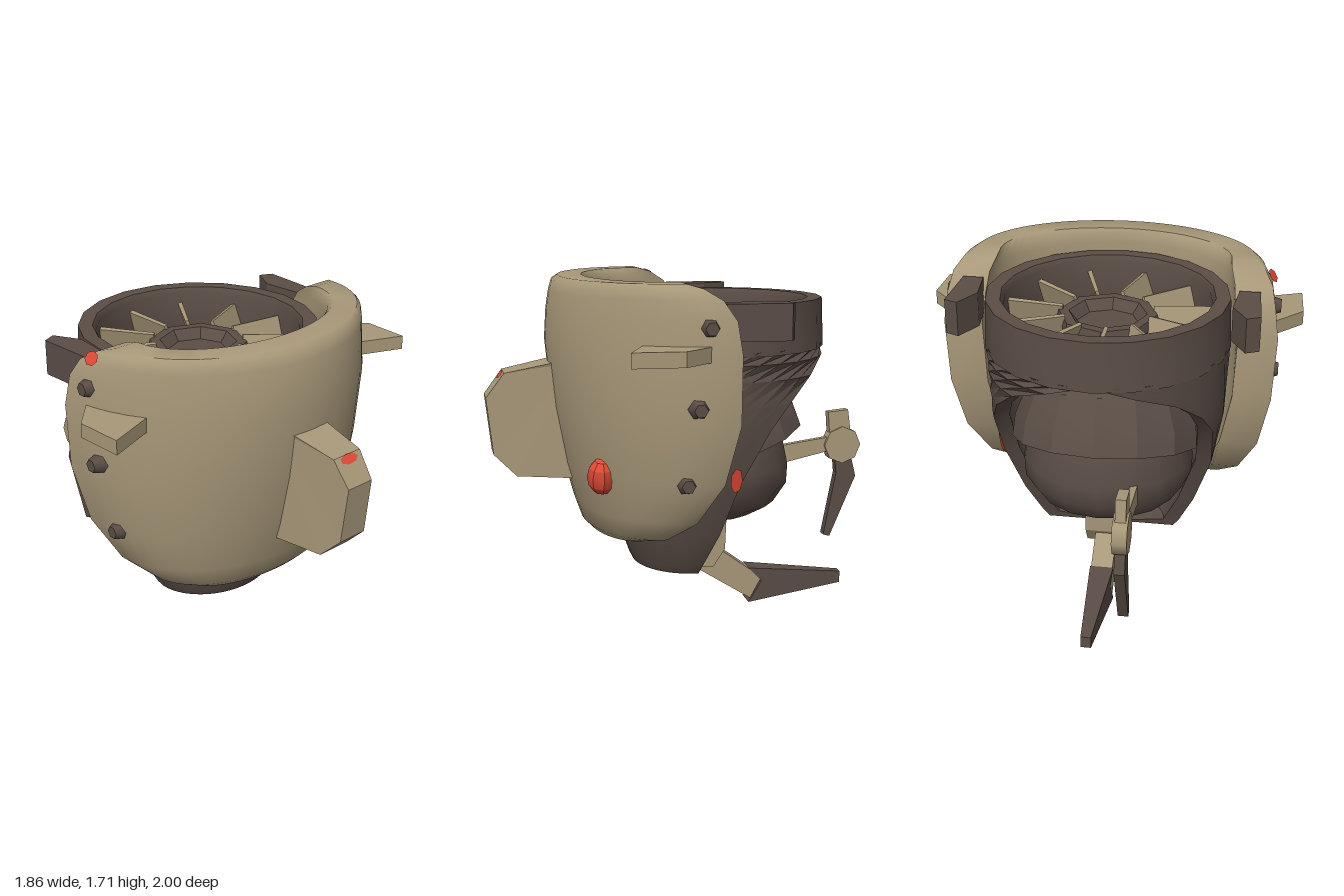
import * as THREE from 'three';
import { toCreasedNormals } from 'three/addons/utils/BufferGeometryUtils.js';

const material = (name, color) => {
  const m = new THREE.MeshStandardMaterial({ color, side: THREE.DoubleSide });
  m.name = name;
  return m;
};

export function createModel() {
  const tan = material('tan paint', 0xa89879);
  const dark = material('dark metal', 0x5a4d46);
  const red = material('red paint', 0xe04a36);
  const group = new THREE.Group();
  const AXIS_Z = -0.1; // fan axis

  const add = (name, geo, mat, x = 0, y = 0, z = 0) => {
    const m = new THREE.Mesh(geo, mat);
    m.name = name;
    m.position.set(x, y, z);
    group.add(m);
    return m;
  };
  const lathe = (pts, sides, crease = 0.6) => toCreasedNormals(
    new THREE.LatheGeometry(pts.map(p => new THREE.Vector2(...p)), sides), crease);

  // plate with a (z, y) outline, extruded along x
  const sidePlate = (pts, width) => {
    const g = new THREE.ExtrudeGeometry(
      new THREE.Shape(pts.map(([z, y]) => new THREE.Vector2(-z, y))),
      { depth: width, bevelEnabled: false });
    return g.translate(0, 0, -width / 2).rotateY(Math.PI / 2);
  };
  // plate with an (x, z) outline, extruded upwards
  const topPlate = (pts, height) => new THREE.ExtrudeGeometry(
    new THREE.Shape(pts.map(([x, z]) => new THREE.Vector2(x, -z))),
    { depth: height, bevelEnabled: false }).rotateX(-Math.PI / 2);
  // scale a part's width from 1 at z0 to k at z1
  const taper = (g, z0, z1, k) => {
    const p = g.attributes.position;
    for (let i = 0; i < p.count; i++) {
      const t = THREE.MathUtils.clamp((p.getZ(i) - z0) / (z1 - z0), 0, 1);
      p.setX(i, p.getX(i) * (1 + (k - 1) * t));
    }
    g.computeVertexNormals();
    return g;
  };

  // thick curved wall: rows of [y, halfWidth, depth, centreZ, halfAngle, thickness]
  const wall = (rows, n, crease) => {
    const pos = [], idx = [], loop = 2 * (n + 1);
    for (const [y, rx, rz, cz, deg, t] of rows) {
      for (let k = 0; k < loop; k++) {
        const inner = k > n, j = inner ? loop - 1 - k : k;
        const a = (2 * j / n - 1) * deg * Math.PI / 180, d = inner ? t : 0;
        pos.push(Math.max(rx - d, 0) * Math.sin(a), y, cz + Math.max(rz - d, 0) * Math.cos(a));
      }
    }
    for (let i = 0; i < rows.length - 1; i++) {
      for (let k = 0; k < loop; k++) {
        const a = i * loop + k, b = i * loop + (k + 1) % loop;
        idx.push(a, b, b + loop, a, b + loop, a + loop);
      }
    }
    const top = (rows.length - 1) * loop;
    for (let j = 0; j < n; j++) {
      const o = loop - 1 - j;
      idx.push(j, o, o - 1, j, o - 1, j + 1);
      idx.push(top + j, top + j + 1, top + o - 1, top + j, top + o - 1, top + o);
    }
    const g = new THREE.BufferGeometry();
    g.setAttribute('position', new THREE.Float32BufferAttribute(pos, 3));
    g.setIndex(idx);
    return toCreasedNormals(g, crease);
  };

  // front armour: [y, halfWidth, frontZ, rearZ, thickness]
  const armour = [
    [0.47, 0.43, 0.50, 0.30, 0.13], [0.50, 0.54, 0.53, 0.20, 0.17], [0.60, 0.65, 0.565, 0.08, 0.18],
    [0.80, 0.745, 0.62, -0.03, 0.19], [1.08, 0.80, 0.67, -0.09, 0.19], [1.40, 0.815, 0.70, -0.09, 0.19],
    [1.55, 0.795, 0.69, -0.07, 0.19], [1.64, 0.775, 0.675, -0.01, 0.18], [1.69, 0.735, 0.66, 0.07, 0.16],
    [1.71, 0.69, 0.63, 0.14, 0.12],
  ].map(([y, x, zf, zr, t]) => [y, x, zf - zr, zr, 90, t]);
  add('frontArmour', wall(armour, 28, 0.75), tan);

  // inner shell, cut away at the back
  add('innerShell', wall([
    [0.26, 0.33, 0.27, 0, 90, 0.34], [0.30, 0.36, 0.30, -0.01, 90, 0.08], [0.48, 0.44, 0.43, -0.08, 90, 0.08],
    [0.75, 0.53, 0.50, AXIS_Z, 97, 0.08], [1.0, 0.575, 0.56, AXIS_Z, 111, 0.08],
    [1.12, 0.58, 0.58, AXIS_Z, 122, 0.08], [1.24, 0.585, 0.585, AXIS_Z, 139, 0.08],
    [1.32, 0.59, 0.59, AXIS_Z, 160, 0.08], [1.38, 0.59, 0.59, AXIS_Z, 180, 0.08],
  ], 28, 0.6), dark);

  // fan housing
  add('fanRing', lathe([[0.51, 1.36], [0.595, 1.36], [0.585, 1.60], [0.515, 1.60], [0.50, 1.57], [0.51, 1.36]], 20), dark, 0, 0, AXIS_Z);
  add('fanHub', lathe([[0.2, 1.2], [0.22, 1.36], [0.25, 1.46], [0.24, 1.5], [0.19, 1.5], [0.15, 1.45], [0, 1.45]], 8, 0.3), dark, 0, 0, AXIS_Z);
  for (let i = 0; i < 11; i++) {
    const g = new THREE.BoxGeometry(0.018, 0.17, 0.3);
    const blade = taper(g, 0.15, -0.15, 1.3);
    blade.rotateZ(0.3).translate(0, 0, -0.37);
    add('fanBlade', blade, tan, 0, 1.44, AXIS_Z).rotation.y = i * Math.PI * 2 / 11;
  }

  // core body below the fan, with a tilted skirt
  add('coreBody', lathe([[0, 0.49], [0.25, 0.5], [0.36, 0.56], [0.425, 0.66], [0.43, 0.76], [0.40, 0.9], [0.36, 1.05], [0.2, 1.3]], 16, 0.7), dark, 0, 0, AXIS_Z);
  add('coreSkirt', lathe([[0.38, -0.09], [0.47, -0.09], [0.46, 0.02], [0.40, 0.18], [0.24, 0.3]], 14, 0.4), dark, 0, 0.93, AXIS_Z - 0.02).rotation.x = 0.28;

  // nose fin
  const nose = sidePlate([[0.55, 1.30], [0.66, 1.30], [0.91, 1.25], [1.0, 1.13], [0.97, 0.85], [0.86, 0.74], [0.55, 0.72]], 0.23);
  add('noseFin', taper(nose, 0.62, 1.0, 0.66), tan);

  // paint marks and lamp
  const patch = (name, pos, normal, w, h) => {
    const m = add(name, new THREE.CircleGeometry(1, 7), red, ...pos);
    m.lookAt(pos[0] + normal[0], pos[1] + normal[1], pos[2] + normal[2]);
    m.scale.set(w, h, 1);
  };
  patch('noseMark', [0, 1.235, 0.926], [0, 0.6, 0.8], 0.055, 0.025);
  patch('armourMark', [-0.772, 1.665, 0.07], [-0.8, 0.6, -0.1], 0.05, 0.035);
  const lamp = add('redLamp', toCreasedNormals(new THREE.SphereGeometry(0.08, 8, 6), 0.5), red, 0.435, 0.8, 0.49);
  lamp.scale.set(0.95, 1.12, 0.9);
  lamp.rotation.z = -0.2;

  // mirrored side parts
  for (const s of [1, -1]) {
    const side = s > 0 ? 'left' : 'right';
    add(side + 'Fin', topPlate([[0.92, 0.43], [0.93, 0.19], [0.77, 0.02], [0.62, 0.1], [0.64, 0.32]].map(([x, z]) => [s * x, z]), 0.07), tan, 0, 1.37, 0);
    add(side + 'RearTab', topPlate([[0.67, -0.37], [0.735, -0.34], [0.72, -0.04], [0.62, -0.04], [0.60, -0.24]].map(([x, z]) => [s * x, z]), 0.17), dark, 0, 1.45, 0);
    for (const [x, y, z] of [[0.78, 1.52, 0.05], [0.785, 1.16, 0.1], [0.71, 0.8, 0.14]]) {
      const bolt = add(side + 'Bolt', new THREE.CylinderGeometry(0.032, 0.056, 0.08, 6).rotateZ(-Math.PI / 2), dark, s * x, y, z);
      if (s < 0) bolt.rotation.y = Math.PI;
    }
    patch(side + 'ShellMark', [s * 0.542, 0.77, -0.135], [s, -0.2, -0.05], 0.03, 0.065);
  }

  // lower claw
  add('clawMount', sidePlate([[0, 0.55], [-0.2, 0.55], [-0.19, 0.31], [-0.13, 0.22], [-0.01, 0.225]], 0.21), tan);
  add('clawArm', sidePlate([[-0.12, 0.335], [-0.40, 0.13], [-0.34, 0.02], [0, 0.235], [-0.02, 0.29]], 0.11), tan);
  add('clawTip', taper(sidePlate([[-0.33, 0.185], [-0.84, 0.125], [-0.84, 0.065], [-0.33, 0.0], [-0.40, 0.11]], 0.12), -0.33, -0.84, 0.42), dark);

  // small rear gripper
  const gx = -0.18;
  add('gripperArm', sidePlate([[-0.4, 0.76], [-0.84, 0.82], [-0.84, 0.745], [-0.4, 0.65]], 0.035), tan, gx);
  add('gripperJoint', new THREE.CylinderGeometry(0.1, 0.1, 0.07, 8).rotateZ(Math.PI / 2), tan, gx, 0.775, -0.9);
  add('gripperProng', sidePlate([[-0.83, 0.82], [-0.82, 0.955], [-0.93, 0.965], [-0.95, 0.82]], 0.05), tan, gx);
  add('gripperBlade', sidePlate([[-0.86, 0.72], [-0.87, 0.62], [-0.805, 0.28], [-0.84, 0.27], [-0.98, 0.6], [-0.95, 0.72]], 0.05), dark, gx);

  return group;
}
